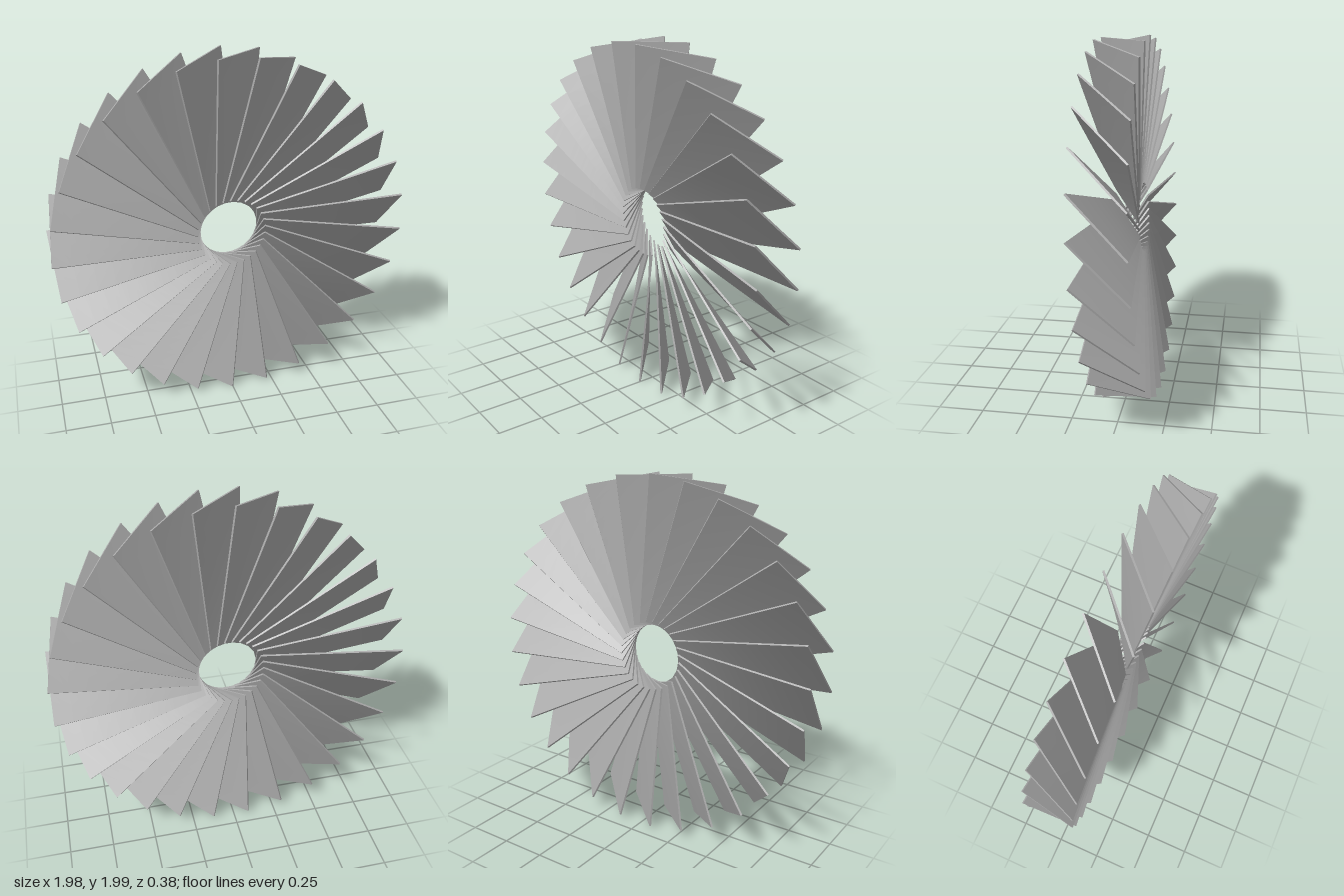
import * as THREE from 'three';

const BLADES = 29;
const R_IN = 0.165, R_OUT = 0.978;
const THICK = 0.01;

// One pitched, twisted and slightly flared blade, pointing up +y
function bladeGeometry() {
  const geo = new THREE.BoxGeometry(1, 1, 1, 2, 8, 1);
  const p = geo.attributes.position;
  for (let i = 0; i < p.count; i++) {
    const k = p.getY(i) + 0.5;                        // 0 at the hub, 1 at the tip
    const along = p.getX(i) * 2, out = p.getZ(i) * THICK;
    const t = THREE.MathUtils.lerp(0.1, 0.15, k);     // half width across
    const h = THREE.MathUtils.lerp(0.067, 0.14, k);   // half depth front to back
    const len = Math.hypot(t, h);
    p.setXYZ(i,
      along * t + out * h / len,
      THREE.MathUtils.lerp(R_IN, R_OUT, k),
      -along * h + out * t / len);
  }
  geo.computeVertexNormals();
  return geo;
}

export function createModel() {
  const model = new THREE.Group();
  model.name = 'bladeRing';

  const metal = new THREE.MeshStandardMaterial({ color: 0xaaaaaa });
  metal.name = 'grey metal';

  // Ring of overlapping blades, leaning slightly forward at the top
  const ring = new THREE.Group();
  ring.name = 'fanRotor';
  ring.position.y = 1;
  ring.rotation.x = 0.047;
  model.add(ring);

  const geo = bladeGeometry();
  const start = THREE.MathUtils.degToRad(-188.75);
  for (let i = 0; i < BLADES; i++) {
    const blade = new THREE.Mesh(geo, metal);
    blade.name = 'blade' + (i + 1);
    blade.rotation.z = start + (i / BLADES) * Math.PI * 2;
    ring.add(blade);
  }
  return model;
}
